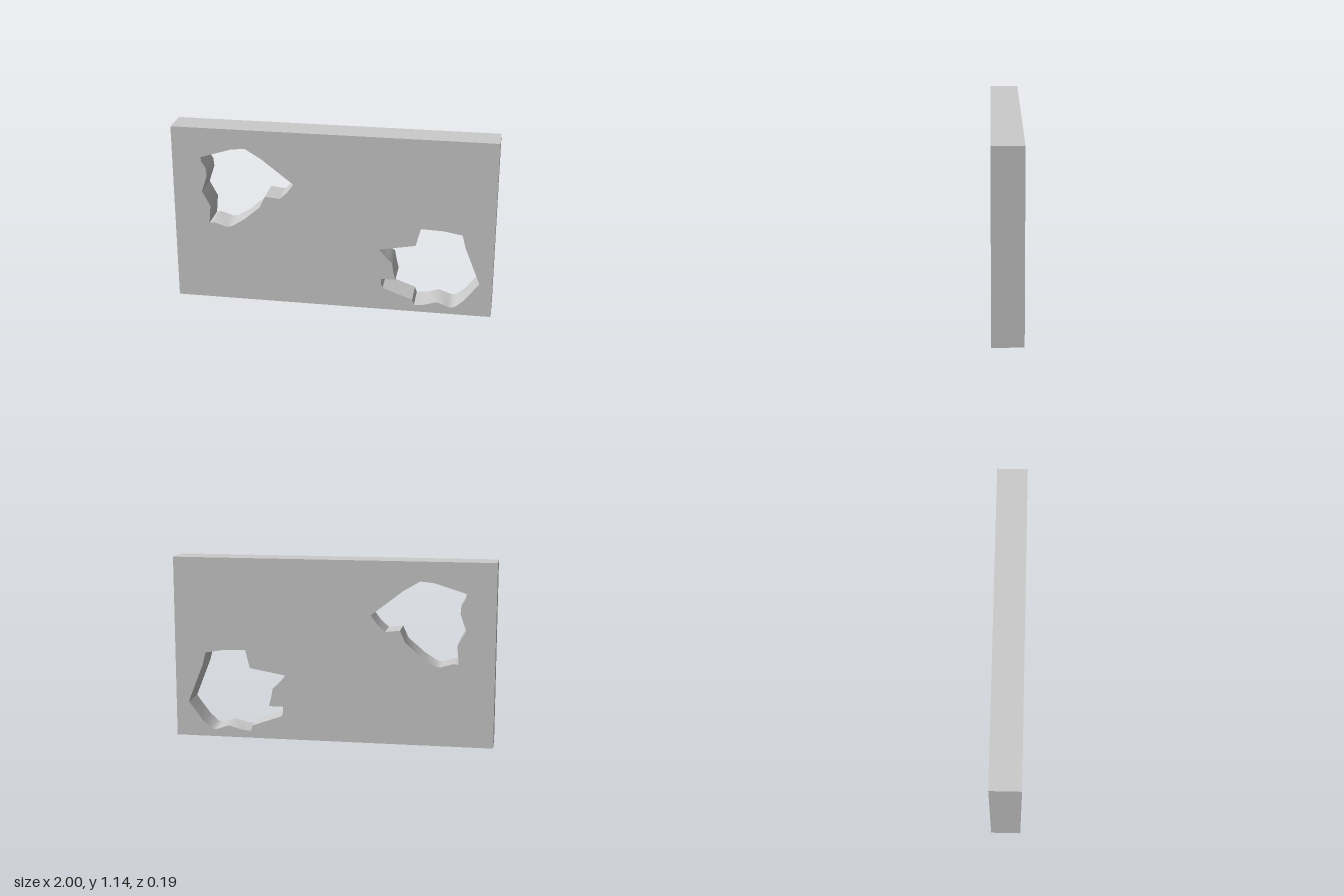
import * as THREE from 'three';
import { toCreasedNormals } from 'three/addons/utils/BufferGeometryUtils.js';

const WIDTH = 2, HEIGHT = 1.14, DEPTH = 0.186;

// Outlines of the two jagged breaches, clockwise from the upper left
const UPPER_BREACH = [
  [-0.82, 0.95], [-0.63, 1.01], [-0.59, 1.015], [-0.54, 1.02], [-0.44, 0.96], [-0.24, 0.805],
  [-0.28, 0.75], [-0.33, 0.705], [-0.42, 0.715], [-0.455, 0.64], [-0.56, 0.55],
  [-0.64, 0.5], [-0.67, 0.495], [-0.75, 0.52], [-0.78, 0.515], [-0.77, 0.63],
  [-0.82, 0.725], [-0.785, 0.83], [-0.79, 0.88], [-0.815, 0.92],
];
const LOWER_BREACH = [
  [0.55, 0.565], [0.69, 0.56], [0.805, 0.54], [0.825, 0.46], [0.92, 0.22],
  [0.83, 0.1], [0.78, 0.055], [0.755, 0.045], [0.73, 0.05], [0.66, 0.075], [0.58, 0.05],
  [0.52, 0.045], [0.508, 0.08], [0.32, 0.148], [0.31, 0.175], [0.31, 0.21],
  [0.4, 0.21], [0.385, 0.27], [0.375, 0.325], [0.34, 0.355], [0.295, 0.41], [0.52, 0.45],
];

const toPoints = (pairs) => pairs.map(([x, y]) => new THREE.Vector2(x, y));

export function createModel() {
  const group = new THREE.Group();
  group.name = 'brokenWall';

  // Upright slab pierced by both breaches
  const slab = new THREE.Shape(toPoints([
    [-WIDTH / 2, 0], [WIDTH / 2, 0], [WIDTH / 2, HEIGHT], [-WIDTH / 2, HEIGHT],
  ]));
  for (const outline of [UPPER_BREACH, LOWER_BREACH]) {
    slab.holes.push(new THREE.Path(toPoints(outline)));
  }
  const geometry = new THREE.ExtrudeGeometry(slab, { depth: DEPTH, bevelEnabled: false });
  geometry.translate(0, 0, -DEPTH / 2);

  // Soft bends inside the breaches, sharp slab edges
  const wall = new THREE.Mesh(
    toCreasedNormals(geometry, 0.8),
    new THREE.MeshStandardMaterial({ color: 0xcccccc }),
  );
  wall.name = 'wall';
  group.add(wall);
  return group;
}
